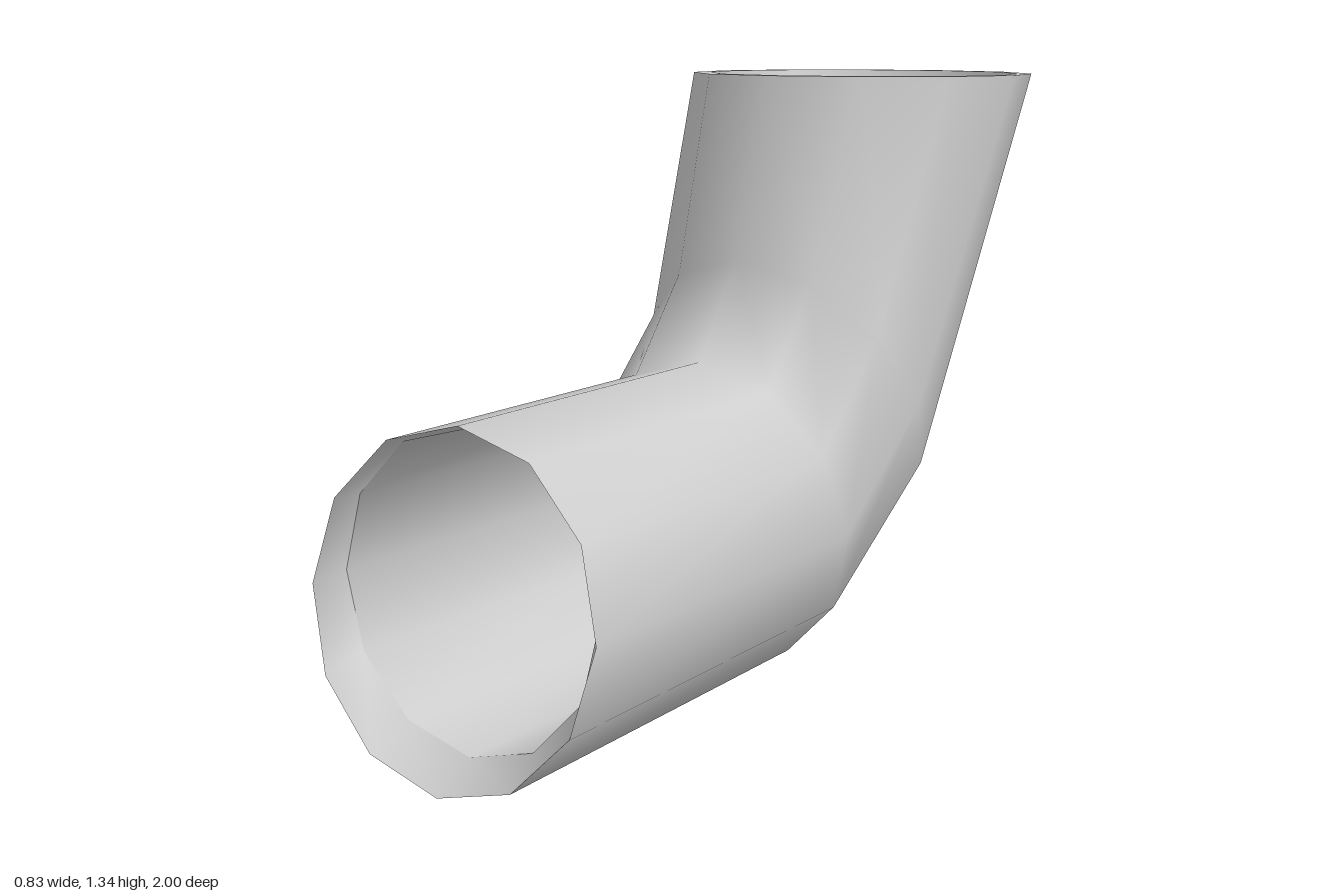
import * as THREE from 'three';

const SIDES = 12;

// A ring is [crook-side y, z, outer-bend y, z, half width].
const outer = [
  [0.715, 0.915, 0.0, 1.0, 0.36],
  [0.72, 0.12, 0.012, 0.02, 0.358],
  [0.93, -0.03, 0.28, -0.45, 0.36],
  [1.343, -0.165, 1.338, -1.0, 0.413],
];
const inner = [
  [0.705, 0.895, 0.052, 0.905, 0.322],
  [0.695, 0.1, 0.045, 0.01, 0.33],
  [0.91, -0.06, 0.3, -0.43, 0.335],
  [1.343, -0.205, 1.338, -0.975, 0.38],
];

// Skins a run of elliptical rings with smooth normals
function skin(rings) {
  const pos = [], idx = [];
  rings.forEach(([y0, z0, y1, z1, w], i) => {
    for (let j = 0; j < SIDES; j++) {
      const a = (j / SIDES) * Math.PI * 2;
      const t = (1 - Math.cos(a)) / 2;
      pos.push(w * Math.sin(a), y0 + (y1 - y0) * t, z0 + (z1 - z0) * t);
      if (i === rings.length - 1) continue;
      const k = (j + 1) % SIDES;
      const A = i * SIDES + j, B = i * SIDES + k;
      idx.push(A, B, A + SIDES, B, B + SIDES, A + SIDES);
    }
  });
  const g = new THREE.BufferGeometry();
  g.setAttribute('position', new THREE.Float32BufferAttribute(pos, 3));
  g.setIndex(idx);
  g.computeVertexNormals();
  return g;
}

export function createModel() {
  const group = new THREE.Group();
  group.name = 'bentPipe';
  const material = new THREE.MeshStandardMaterial({ color: 0xcccccc });
  const add = (name, rings) => {
    const mesh = new THREE.Mesh(skin(rings), material);
    mesh.name = name;
    group.add(mesh);
  };

  add('outerWall', outer);
  add('innerWall', [...inner].reverse());
  // Flat rim at the flared top, sloping lip inside the front opening
  add('topRim', [outer[3], inner[3]]);
  add('frontLip', [inner[0], outer[0]]);
  return group;
}
